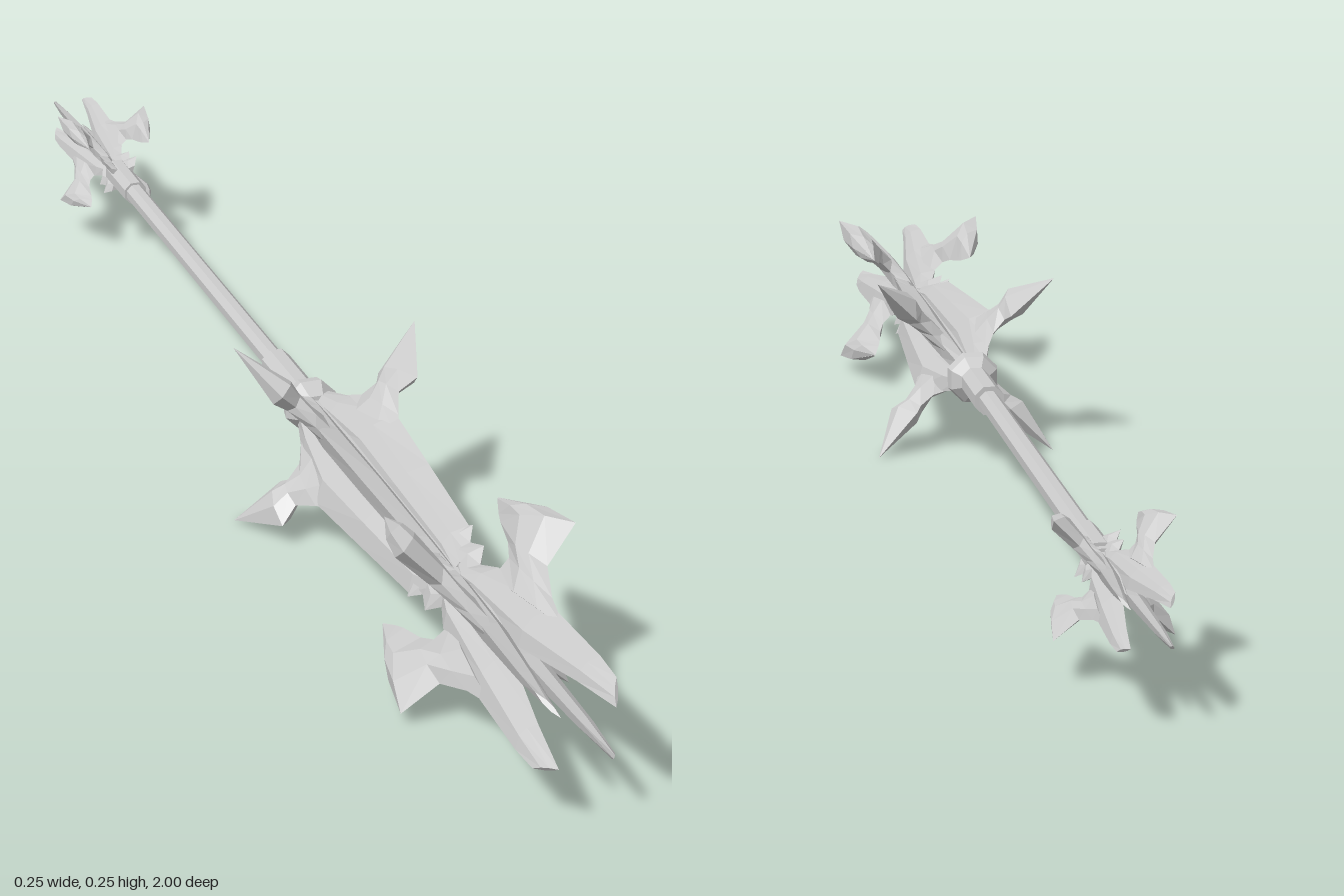
import * as THREE from 'three';

const steel = new THREE.MeshStandardMaterial({ color: 0xcccccc });
steel.name = 'light grey steel';

function facetedMesh(geometry, name) {
  const g = geometry.index ? geometry.toNonIndexed() : geometry;
  g.computeVertexNormals();
  const mesh = new THREE.Mesh(g, steel);
  mesh.name = name;
  return mesh;
}

// Bevelled plate lofted through stations [rA, zA, rB, zB, halfThickness]:
// sharp at both edges A and B, with a nearly flat band on each face.
const SECTION = [[0, 0], [0.38, 1], [0.7, 0.9], [1, 0], [0.7, -0.9], [0.38, -1]];
function bevelledBlade(stations, name) {
  const pos = [], index = [], n = SECTION.length;
  for (const [ra, za, rb, zb, t] of stations) {
    for (const [f, s] of SECTION) pos.push(ra + (rb - ra) * f, s * t, za + (zb - za) * f);
  }
  for (let i = 0; i < stations.length - 1; i++) {
    for (let j = 0; j < n; j++) {
      const a = i * n + j, b = i * n + (j + 1) % n;
      index.push(a, b, a + n, b, b + n, a + n);
    }
  }
  const e = (stations.length - 1) * n;
  for (let j = 1; j < n - 1; j++) index.push(0, j + 1, j, e, e + j, e + j + 1);
  const g = new THREE.BufferGeometry();
  g.setAttribute('position', new THREE.Float32BufferAttribute(pos, 3));
  g.setIndex(index);
  return facetedMesh(g, name);
}

// Turned part along z from [radius, z] points
function turned(points, name) {
  const g = new THREE.LatheGeometry(points.map(p => new THREE.Vector2(...p)), 8, Math.PI / 8);
  g.rotateX(Math.PI / 2);
  return facetedMesh(g, name);
}

// Four copies of a set of blades on the diagonals
function fourWays(makeParts, name) {
  const group = new THREE.Group();
  group.name = name;
  for (let i = 0; i < 4; i++) {
    const arm = new THREE.Group();
    arm.name = name + 'Arm';
    arm.add(...makeParts());
    arm.rotation.z = Math.PI / 4 + i * Math.PI / 2;
    group.add(arm);
  }
  return group;
}

// Long flange with a swept-back barbed spur
const flangeParts = () => [
  bevelledBlade([
    [0.028, 0.13, 0, 0.13, 0.01],
    [0.05, 0.19, 0, 0.19, 0.013],
    [0.076, 0.29, 0, 0.29, 0.015],
    [0.066, 0.42, 0, 0.42, 0.015],
    [0.054, 0.57, 0, 0.57, 0.013],
    [0.03, 0.62, 0, 0.62, 0.01],
  ], 'flangeBody'),
  bevelledBlade([
    [0.03, 0.15, 0.05, 0.36, 0.011],
    [0.06, 0.2, 0.078, 0.295, 0.011],
    [0.084, 0.207, 0.098, 0.26, 0.013],
    [0.094, 0.195, 0.128, 0.27, 0.018],
    [0.174, 0.175, 0.174, 0.176, 0],
  ], 'flangeSpur'),
];

// Toothed neck running into a forward chisel spike, with a hooked axe fluke
const crownParts = () => [
  bevelledBlade([
    [0.04, 0.55, 0, 0.55, 0.008],
    [0.058, 0.575, 0, 0.575, 0.009],
    [0.042, 0.595, 0, 0.595, 0.009],
    [0.052, 0.62, 0, 0.62, 0.01],
    [0.034, 0.64, 0, 0.64, 0.011],
    [0.048, 0.67, 0, 0.67, 0.013],
    [0.066, 0.8, 0.006, 0.8, 0.013],
    [0.07, 0.92, 0.032, 0.92, 0.008],
    [0.068, 0.965, 0.046, 1, 0.003],
  ], 'crownSpike'),
  bevelledBlade([
    [0.035, 0.675, 0.06, 0.84, 0.011],
    [0.065, 0.672, 0.072, 0.785, 0.011],
    [0.076, 0.65, 0.092, 0.738, 0.014],
    [0.085, 0.612, 0.15, 0.722, 0.017],
    [0.09, 0.598, 0.138, 0.66, 0.013],
    [0.101, 0.575, 0.103, 0.576, 0],
  ], 'crownFluke'),
];

function crown(name) {
  const group = fourWays(crownParts, name);
  group.add(turned([[0.016, 0.54], [0.015, 0.72], [0, 0.82]], name + 'Core'));
  return group;
}

export function createModel() {
  const model = new THREE.Group();
  model.name = 'flangedMace';
  const mace = new THREE.Group();
  mace.name = 'mace';
  mace.position.y = 0.123;
  model.add(mace);

  // Shaft, sleeves and collar
  mace.add(turned([[0, -0.75], [0.0145, -0.75], [0.0145, 0], [0, 0]], 'shaft'));
  mace.add(turned([[0, -0.012], [0.021, -0.012], [0.021, 0.11], [0, 0.11]], 'frontSleeve'));
  mace.add(turned([[0, -0.74], [0.019, -0.74], [0.018, -0.645], [0, -0.645]], 'rearSleeve'));
  mace.add(turned([[0.02, 0.095], [0.034, 0.11], [0.037, 0.125], [0.024, 0.147], [0, 0.15]], 'collar'));

  // Main head
  mace.add(turned([[0.018, 0.13], [0.016, 0.56], [0, 0.57]], 'headCore'));
  mace.add(fourWays(flangeParts, 'flange'));
  mace.add(crown('headCrown'));

  // Smaller matching crown at the butt
  const butt = crown('buttCrown');
  butt.rotation.y = Math.PI;
  butt.scale.setScalar(0.65);
  butt.position.z = -0.35;
  mace.add(butt);

  return model;
}
